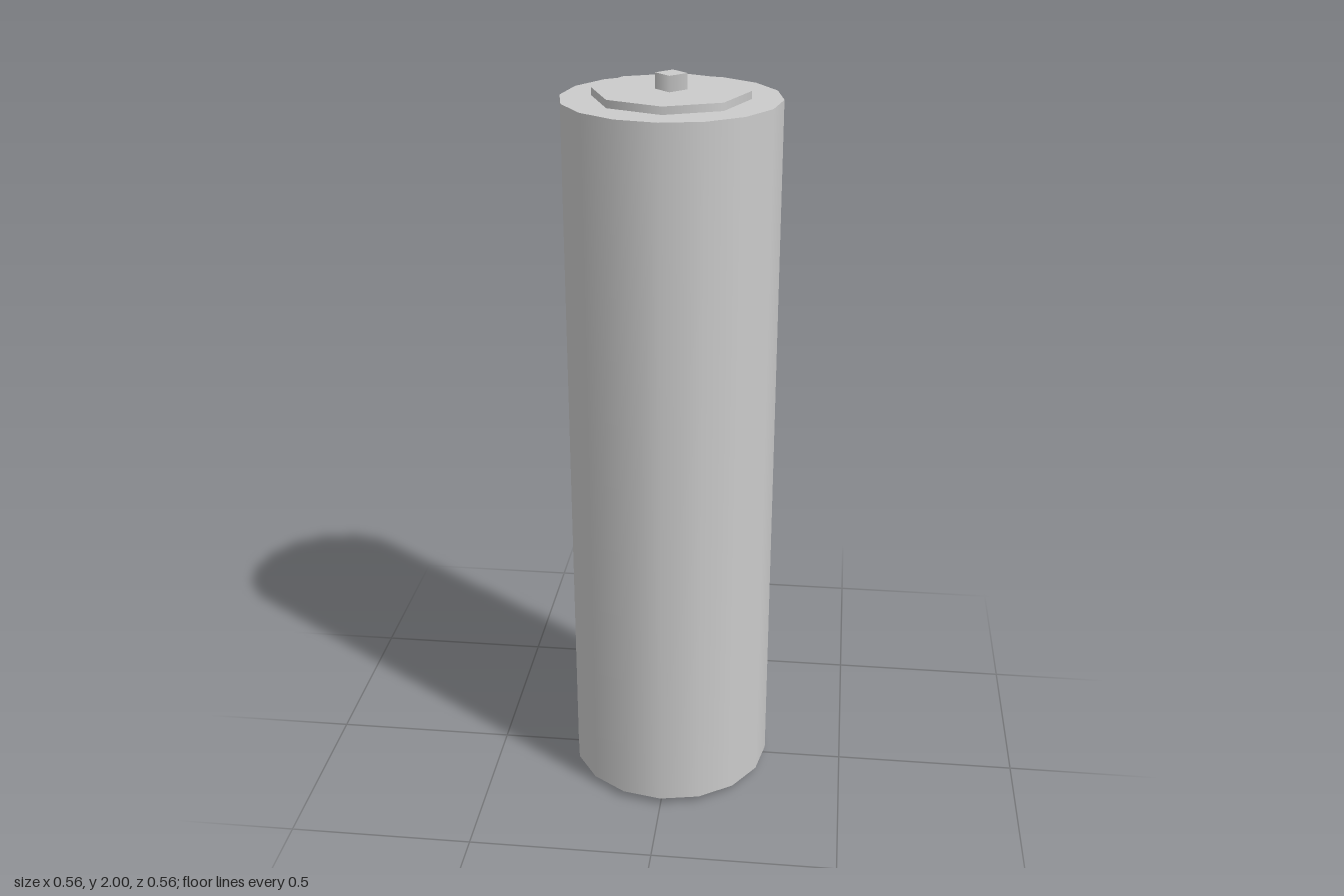
import * as THREE from 'three';

const material = new THREE.MeshStandardMaterial({ color: 0xcccccc });

// Upright prism with smooth sides, spanning y0 to y1
function cylinder(name, radius, y0, y1, sides) {
  const mesh = new THREE.Mesh(new THREE.CylinderGeometry(radius, radius, y1 - y0, sides), material);
  mesh.name = name;
  mesh.position.y = (y0 + y1) / 2;
  return mesh;
}

export function createModel() {
  const group = new THREE.Group();
  group.name = 'cylinderModel';
  group.add(
    cylinder('body', 0.28, 0.02, 1.94, 16),
    // End plates, set slightly into the body
    cylinder('bottomPlate', 0.2, 0, 0.04, 8),
    cylinder('topPlate', 0.2, 1.92, 1.96, 8),
    // Square pin on top
    cylinder('topPin', 0.04, 1.94, 2, 4)
  );
  return group;
}
